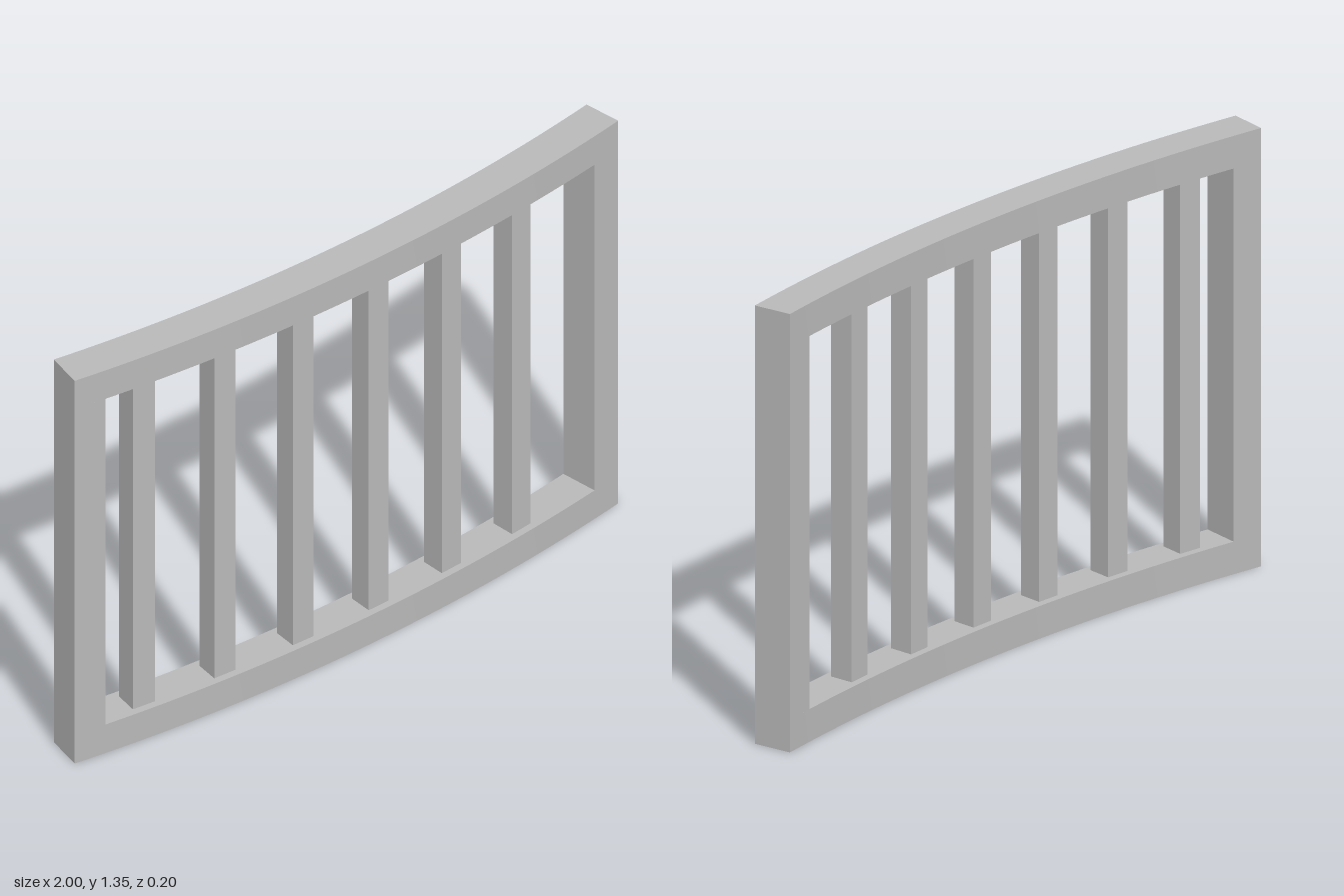
import * as THREE from 'three';
import { toCreasedNormals } from 'three/addons/utils/BufferGeometryUtils.js';

const R = 6.07;            // radius of the front face
const DEPTH = 0.12;        // frame thickness
const ZC = 0.1 - R;        // z of the bend centre
const HEIGHT = 1.345;
const RAIL = 0.1;          // height of top and bottom rails
const BAR = 0.074;         // square bar section

// Block bent around the vertical axis, between two angles and two heights
function bentBlock(a0, a1, y0, y1, segments) {
  const pts = [];
  const add = (r, a) => pts.push(new THREE.Vector2(r * Math.sin(a), -(r * Math.cos(a) + ZC)));
  for (let i = 0; i <= segments; i++) add(R, a0 + (a1 - a0) * i / segments);
  for (let i = segments; i >= 0; i--) add(R - DEPTH, a0 + (a1 - a0) * i / segments);
  const geo = new THREE.ExtrudeGeometry(new THREE.Shape(pts), { depth: y1 - y0, bevelEnabled: false });
  geo.rotateX(-Math.PI / 2);
  geo.translate(0, y0, 0);
  return toCreasedNormals(geo, 0.5);
}

export function createModel() {
  const model = new THREE.Group();
  model.name = 'curvedBarredPanel';
  const grey = new THREE.MeshStandardMaterial({ color: 0xb8b8b8 });
  grey.name = 'grey';

  const add = (name, geo) => {
    const mesh = new THREE.Mesh(geo, grey);
    mesh.name = name;
    model.add(mesh);
    return mesh;
  };

  const end = Math.asin(1 / R);
  const inner = Math.asin(0.9 / R);

  // Curved rails
  add('bottomRail', bentBlock(-end, end, 0, RAIL, 40));
  add('topRail', bentBlock(-end, end, HEIGHT - RAIL, HEIGHT, 40));

  // Upright stiles at both ends
  add('rightStile', bentBlock(-end, -inner, RAIL, HEIGHT - RAIL, 3));
  add('leftStile', bentBlock(inner, end, RAIL, HEIGHT - RAIL, 3));

  // Evenly spaced square bars, each turned to follow the curve
  const barGeo = new THREE.BoxGeometry(BAR, HEIGHT - 2 * RAIL, BAR);
  const rMid = R - DEPTH / 2;
  for (let i = 0; i < 6; i++) {
    const a = Math.asin((-0.751 + i * 0.2735) / rMid);
    const bar = add('bar' + (i + 1), barGeo);
    bar.position.set(rMid * Math.sin(a), HEIGHT / 2, rMid * Math.cos(a) + ZC);
    bar.rotation.y = a;
  }
  return model;
}
